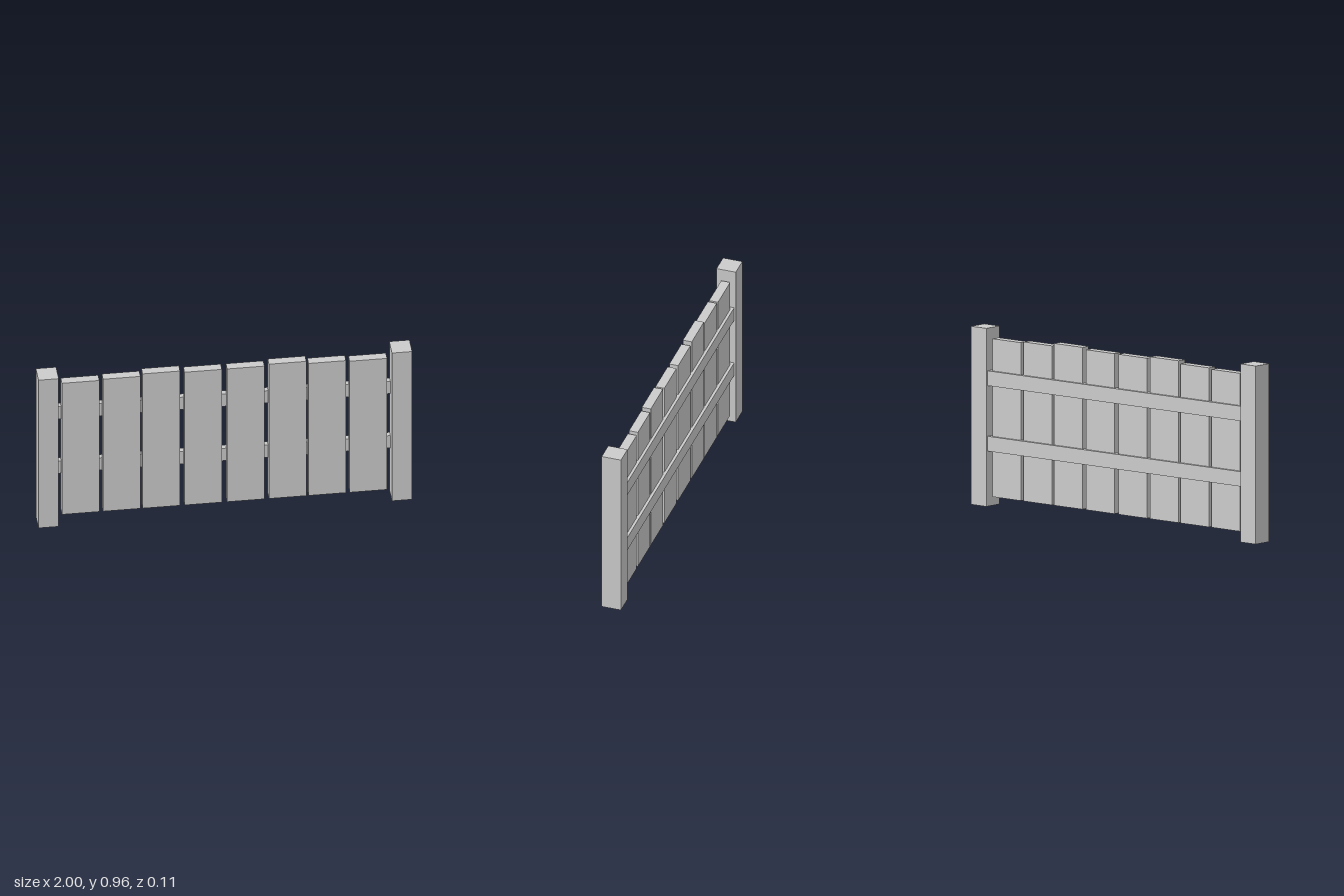
import * as THREE from 'three';

export function createModel() {
  const group = new THREE.Group();
  group.name = 'fencePanel';
  const material = new THREE.MeshStandardMaterial({ color: 0xcccccc, flatShading: true });

  // Box whose y is measured at its bottom face
  const addBox = (name, w, h, d, x, bottom, z) => {
    const mesh = new THREE.Mesh(new THREE.BoxGeometry(w, h, d), material);
    mesh.position.set(x, bottom + h / 2, z);
    mesh.name = name;
    group.add(mesh);
  };

  // Planks from the middle outwards: [centre x, top y]
  const planks = [[0.114, 0.913], [0.338, 0.923], [0.55, 0.908], [0.77, 0.902]];
  const plankBottom = 0.052;

  for (const [side, label] of [[1, 'left'], [-1, 'right']]) {
    addBox(`${label}Post`, 0.108, 0.958, 0.108, side * 0.946, 0, 0);
    planks.forEach(([x, top], i) =>
      addBox(`${label}Plank${i + 1}`, 0.2, top - plankBottom, 0.05, side * x, plankBottom, -0.005));
  }

  // Rails behind the planks, running from post to post
  addBox('lowerRail', 1.79, 0.08, 0.032, 0, 0.297, -0.029);
  addBox('upperRail', 1.79, 0.08, 0.032, 0, 0.649, -0.029);

  return group;
}
